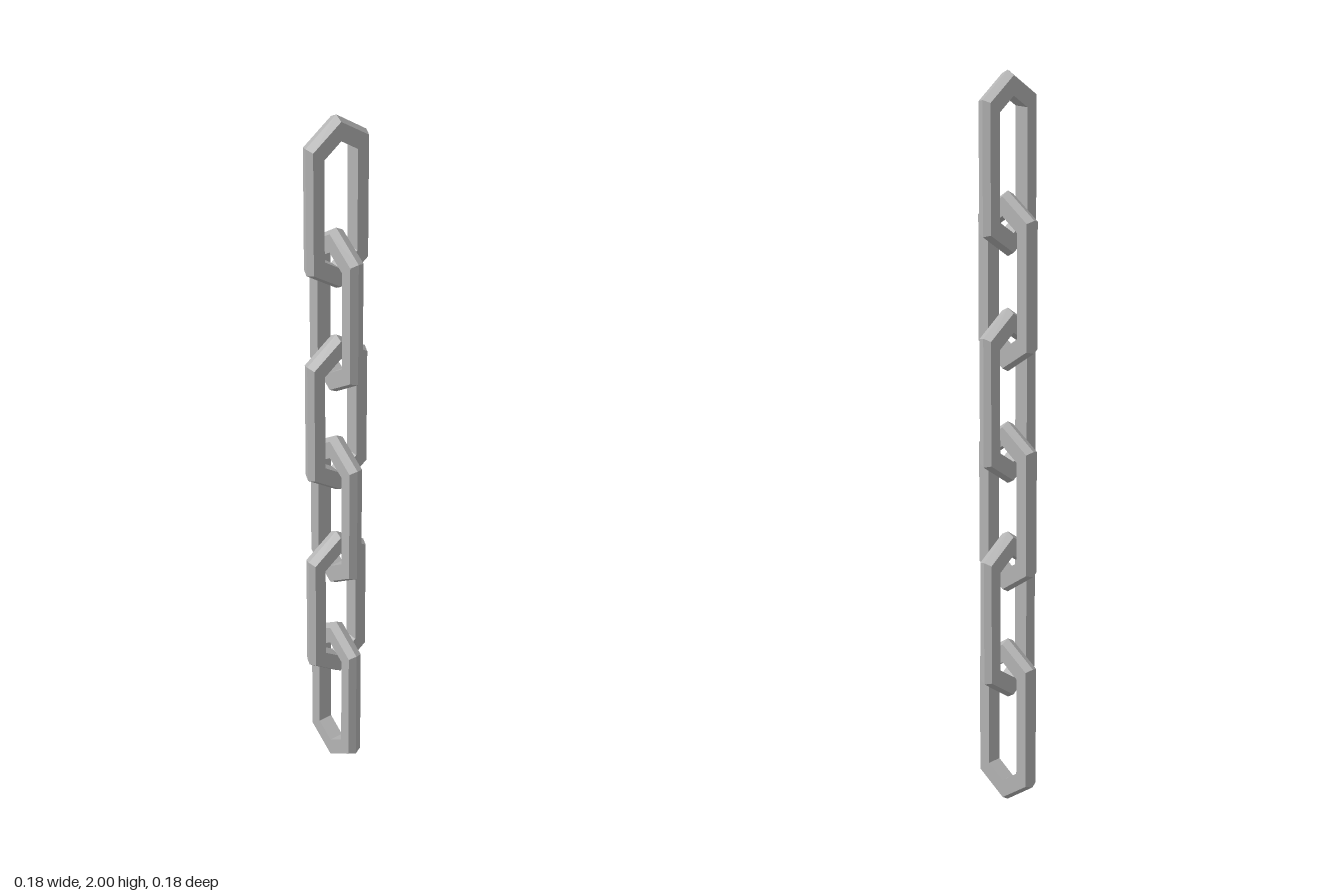
import * as THREE from 'three';

const LINKS = 6, SPACING = 0.305, HALF_HEIGHT = 0.2375, HALF_DEPTH = 0.0205;

// Six-sided ring: a width, an apex height and a shoulder height
const ring = (w, apex, side) => [[0, apex], [-w, side], [-w, -side], [0, -apex], [w, -side], [w, side]];

// Pentagonal cross-section: outer ridge, two shoulders, flat inner face
function linkGeometry() {
  const outer = ring(0.0915, HALF_HEIGHT, 0.173);
  const shoulder = ring(0.084, 0.2255, 0.167);
  const inner = ring(0.0505, 0.1745, 0.139);
  const loops = [[outer, 0], [shoulder, HALF_DEPTH], [inner, HALF_DEPTH], [inner, -HALF_DEPTH], [shoulder, -HALF_DEPTH]];
  const positions = [];
  const point = (k, i) => {
    const [loop, z] = loops[k % 5];
    return [...loop[i % 6], z];
  };
  for (let k = 0; k < 5; k++) {
    for (let i = 0; i < 6; i++) {
      const a = point(k, i), b = point(k, i + 1), c = point(k + 1, i + 1), d = point(k + 1, i);
      positions.push(...a, ...b, ...c, ...a, ...c, ...d);
    }
  }
  // Ring order runs counter-clockwise, so these corners face outward
  const geometry = new THREE.BufferGeometry();
  geometry.setAttribute('position', new THREE.Float32BufferAttribute(positions, 3));
  geometry.computeVertexNormals();
  return geometry;
}

export function createModel() {
  const chain = new THREE.Group();
  chain.name = 'chain';
  const steel = new THREE.MeshStandardMaterial({ color: 0xb4b4b4, flatShading: true });
  steel.name = 'steel grey';
  const geometry = linkGeometry();

  // Interlocking links, every second one turned a quarter
  for (let i = 0; i < LINKS; i++) {
    const link = new THREE.Mesh(geometry, steel);
    link.name = `chainLink${i + 1}`;
    link.position.y = 2 - HALF_HEIGHT - i * SPACING;
    link.rotation.y = (i % 2) * Math.PI / 2;
    chain.add(link);
  }
  return chain;
}
